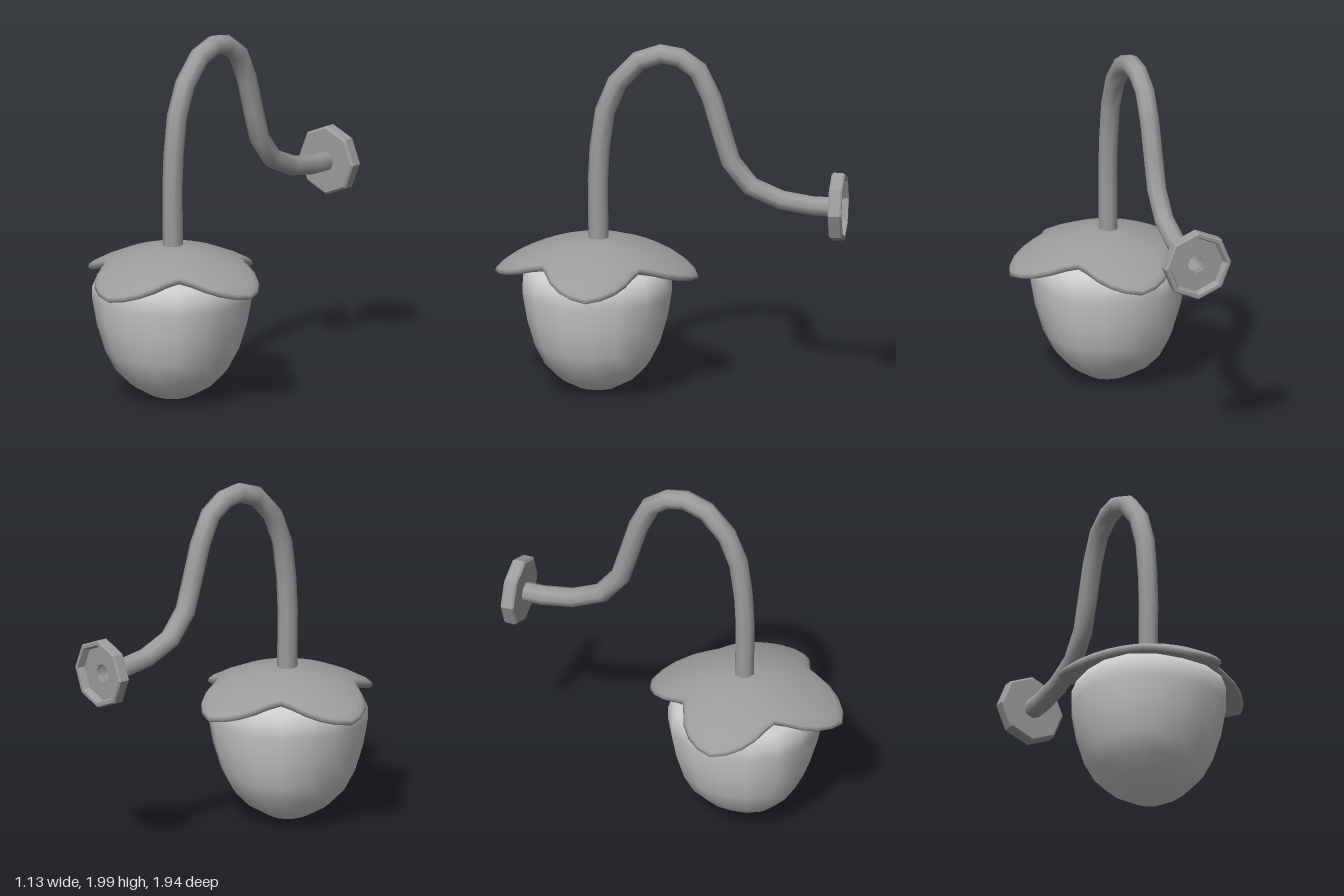
import * as THREE from 'three';
import { mergeVertices, toCreasedNormals } from 'three/addons/utils/BufferGeometryUtils.js';

const V2 = (pts) => pts.map(([x, y]) => new THREE.Vector2(x, y));

// Lathe whose vertices are moved by a rule, with smooth normals across the seam
function shapedLathe(profile, segments, rule) {
  let g = new THREE.LatheGeometry(V2(profile), segments);
  const p = g.attributes.position, v = new THREE.Vector3();
  for (let i = 0; i < p.count; i++) {
    v.fromBufferAttribute(p, i);
    rule(v, Math.atan2(v.z, v.x), Math.hypot(v.x, v.z));
    p.setXYZ(i, v.x, v.y, v.z);
  }
  g.deleteAttribute('uv');
  g.deleteAttribute('normal');
  g = mergeVertices(g, 1e-4);
  g.computeVertexNormals();
  return g;
}

// Four-petal outline: radius for an angle, eased between valley and tip
const petalSteps = [[0, 0.565], [9, 0.545], [21, 0.5], [29, 0.455], [37, 0.41], [45, 0.385]];
function petalRadius(angle) {
  let a = Math.abs(THREE.MathUtils.radToDeg(angle)) % 90;
  if (a > 45) a = 90 - a;
  for (let i = 1; i < petalSteps.length; i++) {
    const [a0, r0] = petalSteps[i - 1], [a1, r1] = petalSteps[i];
    if (a <= a1 + 1e-3) return r0 + (r1 - r0) * (a - a0) / (a1 - a0);
  }
  return petalSteps[petalSteps.length - 1][1];
}

// Curve that keeps the tube rings exactly on the path points
class ArmCurve extends THREE.CatmullRomCurve3 {
  getPointAt(u, target) { return this.getPoint(u, target); }
  getTangentAt(u, target) { return this.getTangent(u, target); }
}

export function createModel() {
  const model = new THREE.Group();
  const metal = new THREE.MeshStandardMaterial({ color: 0x9c9c9c, side: THREE.DoubleSide });
  metal.name = 'greyMetal';
  const glass = new THREE.MeshStandardMaterial({ color: 0xcccccc });
  glass.name = 'paleGlass';

  const add = (name, geometry, material, x, y, z) => {
    const mesh = new THREE.Mesh(geometry, material);
    mesh.name = name;
    mesh.position.set(x, y, z);
    model.add(mesh);
  };

  // Bulb: slightly squared acorn shape
  const bulbProfile = [[0, 0.005], [0.11, 0.028], [0.215, 0.09], [0.29, 0.17], [0.345, 0.28],
    [0.388, 0.43], [0.413, 0.58], [0.413, 0.65], [0.385, 0.72], [0.28, 0.77], [0, 0.8]];
  add('bulb', shapedLathe(bulbProfile, 16, (v, angle) => {
    const k = 1 + 0.07 * Math.sin(2 * angle) ** 2;
    v.x *= k;
    v.z *= k;
  }), glass, -0.013, 0, 0.408);

  // Petal cap: profile is [share of outline radius, offset from the dome]
  const capProfile = [[0, -0.055], [0.4, -0.055], [0.7, -0.055], [0.88, -0.052], [0.96, -0.047],
    [1, -0.022], [0.985, -0.006], [0.93, 0], [0.75, 0], [0.5, 0], [0.25, 0], [0, 0]];
  add('petalCap', shapedLathe(capProfile, 40, (v, angle, share) => {
    const r = share * petalRadius(angle);
    v.set(r * Math.cos(angle), 0.88 - 0.6 * r * r + v.y, r * Math.sin(angle));
  }), metal, 0, 0, 0.41);

  // Swan-neck arm, given as [z, y]
  const path = [[0.402, 0.84], [0.406, 1.2], [0.396, 1.39], [0.367, 1.6], [0.298, 1.77],
    [0.177, 1.9], [0.055, 1.943], [-0.05, 1.925], [-0.15, 1.855], [-0.224, 1.7], [-0.28, 1.507],
    [-0.33, 1.34], [-0.44, 1.2], [-0.61, 1.125], [-0.786, 1.097], [-0.925, 1.095]];
  const curve = new ArmCurve(path.map(([z, y]) => new THREE.Vector3(0, y, z)));
  add('arm', new THREE.TubeGeometry(curve, path.length - 1, 0.056, 8), metal, -0.013, 0, 0);

  // Octagonal wall plate, hollowed at the back around the open arm end
  const plateProfile = [[0.05, 0], [0.183, 0], [0.195, 0.01], [0.195, 0.065], [0.187, 0.075],
    [0.168, 0.075], [0.155, 0.035], [0.05, 0.035]];
  const plate = new THREE.LatheGeometry(V2(plateProfile), 8);
  plate.rotateX(-Math.PI / 2);
  add('wallPlate', toCreasedNormals(plate, 0.5), metal, -0.013, 1.098, -0.89);

  return model;
}
